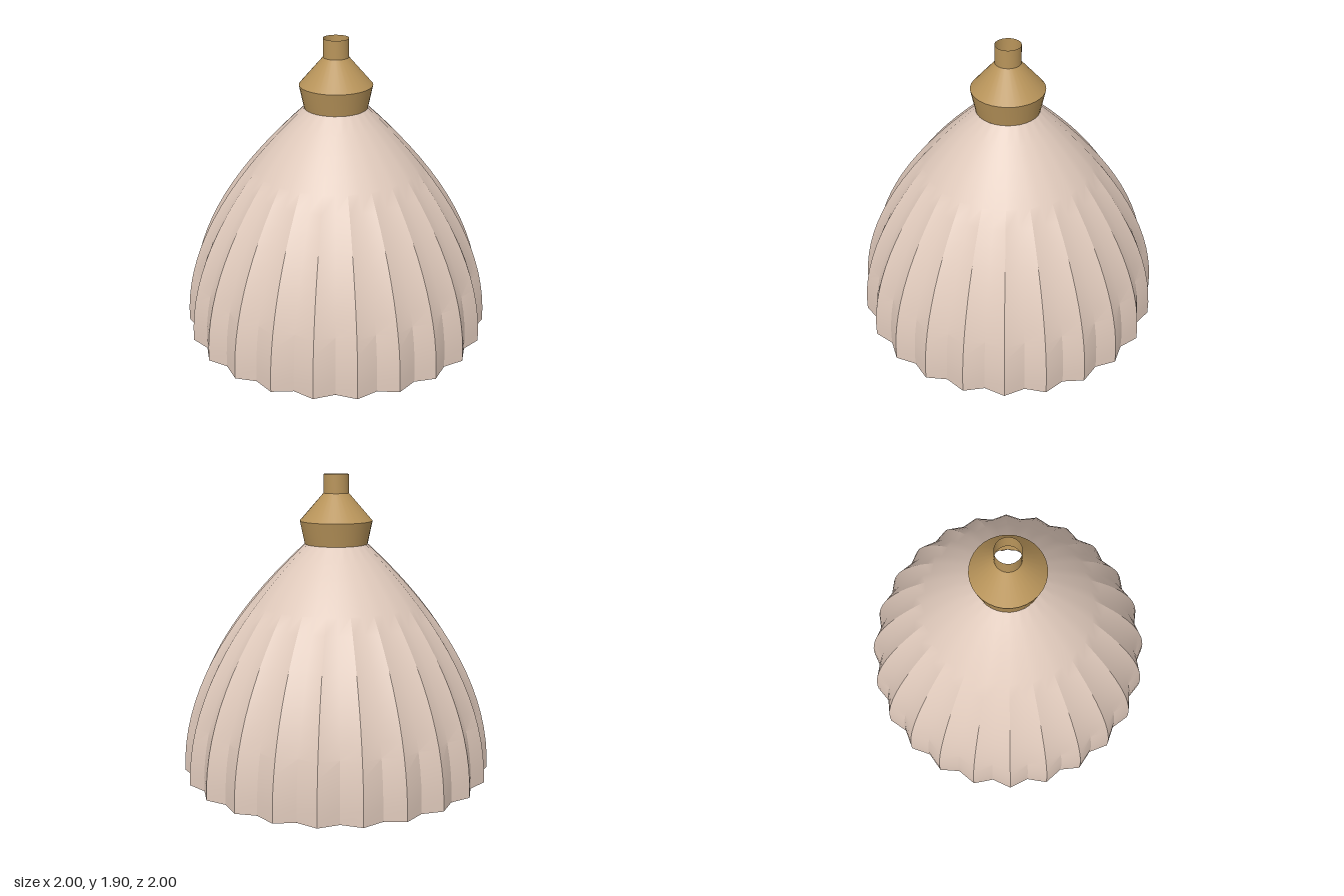
import * as THREE from 'three';
import { toCreasedNormals } from 'three/addons/utils/BufferGeometryUtils.js';

const FLUTES = 24;
const ROWS = 16;
const SHADE_TOP = 1.47;

// Fluted bell: parabolic profile, sharp ridges, pleats getting shallower upwards
function flutedShade() {
  const cols = FLUTES * 2;
  const positions = [];
  const index = [];
  for (let j = 0; j <= ROWS; j++) {
    const t = j / ROWS;
    const y = SHADE_TOP * t;
    const ridge = 1 - 0.8 * t * t;
    const valley = ridge * (0.95 + 0.0145 * y);
    for (let i = 0; i < cols; i++) {
      const a = (i / cols) * Math.PI * 2;
      const r = i % 2 ? valley : ridge;
      positions.push(r * Math.cos(a), y, r * Math.sin(a));
    }
  }
  for (let j = 0; j < ROWS; j++) {
    for (let i = 0; i < cols; i++) {
      const a = j * cols + i;
      const b = j * cols + ((i + 1) % cols);
      const c = a + cols;
      const d = b + cols;
      index.push(a, c, b, b, c, d);
    }
  }
  const geometry = new THREE.BufferGeometry();
  geometry.setAttribute('position', new THREE.Float32BufferAttribute(positions, 3));
  geometry.setIndex(index);
  return toCreasedNormals(geometry, Math.PI / 6);
}

// Open metal fitting: flared cup, cone and cable neck
function fittingGeometry() {
  const profile = [[0.2, 1.47], [0.23, 1.615], [0.08, 1.787], [0.08, 1.904]];
  const points = profile.map(([r, y]) => new THREE.Vector2(r, y));
  return toCreasedNormals(new THREE.LatheGeometry(points, 32), Math.PI / 6);
}

export function createModel() {
  const model = new THREE.Group();
  model.name = 'pendantLamp';

  const blush = new THREE.MeshStandardMaterial({ color: 0xdfc9bb, side: THREE.DoubleSide });
  blush.name = 'blush';
  const brass = new THREE.MeshStandardMaterial({ color: 0xb8945a, side: THREE.DoubleSide });
  brass.name = 'brass';

  const shade = new THREE.Mesh(flutedShade(), blush);
  shade.name = 'shade';
  const fitting = new THREE.Mesh(fittingGeometry(), brass);
  fitting.name = 'fitting';

  model.add(shade, fitting);
  return model;
}
